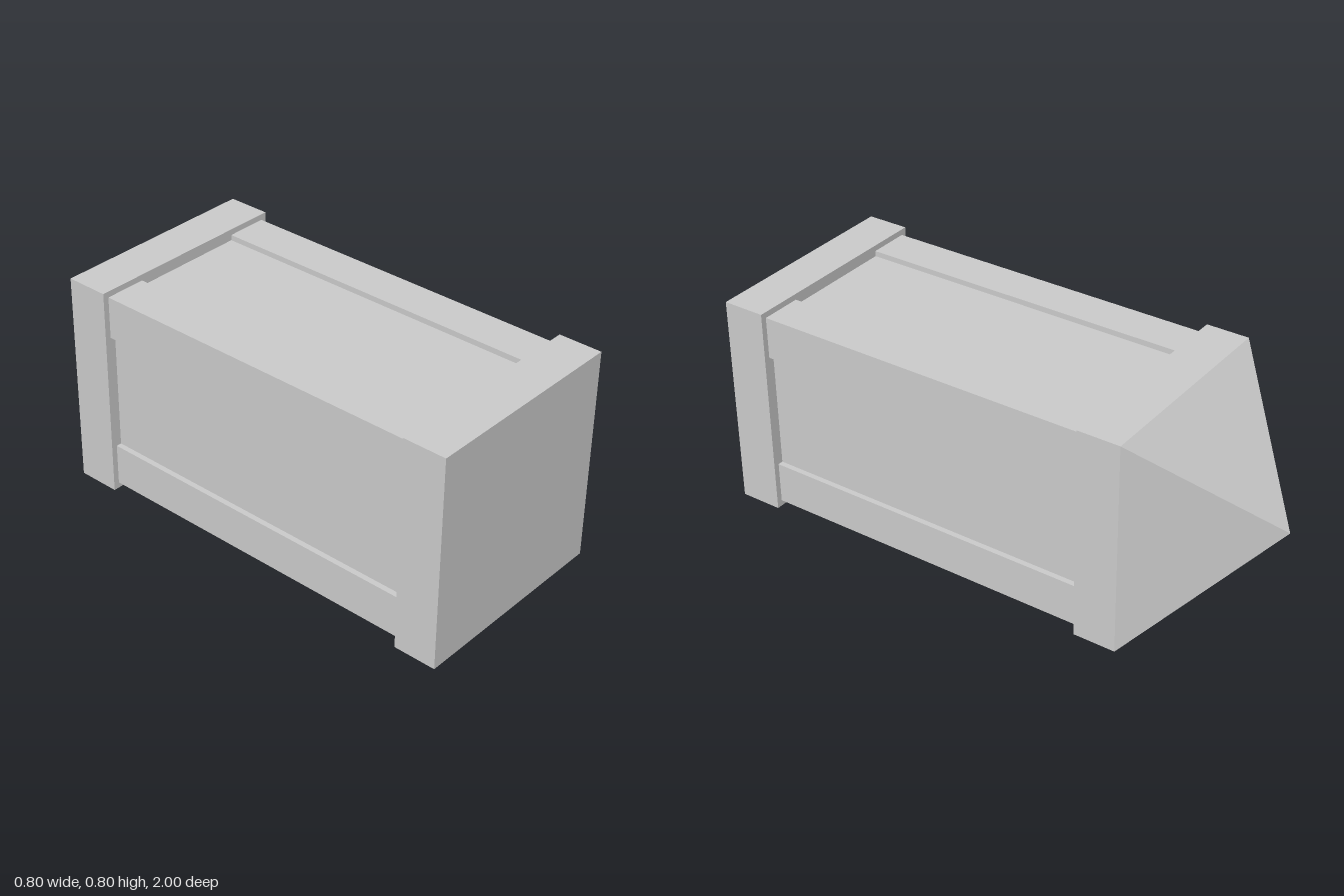
import * as THREE from 'three';

const CY = 0.4; // height of the long axis

export function createModel() {
  const group = new THREE.Group();
  const material = new THREE.MeshStandardMaterial({ color: 0xcccccc, flatShading: true });

  function add(name, geometry, x, y, z) {
    const mesh = new THREE.Mesh(geometry, material);
    mesh.name = name;
    mesh.position.set(x, y, z);
    group.add(mesh);
    return mesh;
  }

  // Square collars at both ends
  add('frontCollar', new THREE.BoxGeometry(0.8, 0.8, 0.16), 0, CY, 0.92);
  add('backCollar', new THREE.BoxGeometry(0.8, 0.8, 0.16), 0, CY, -0.52);

  // Recessed core between the collars
  add('core', new THREE.BoxGeometry(0.715, 0.715, 1.28), 0, CY, 0.2);

  // Four corner rails running the length of the core
  const inner = 0.221, outer = 0.378;
  const size = outer - inner, offset = (outer + inner) / 2;
  for (const sx of [-1, 1]) {
    for (const sy of [-1, 1]) {
      const name = (sy > 0 ? 'upper' : 'lower') + (sx > 0 ? 'Left' : 'Right') + 'Rail';
      add(name, new THREE.BoxGeometry(size, size, 1.28), sx * offset, CY + sy * offset, 0.2);
    }
  }

  // Four-sided pyramid point at the back
  const point = new THREE.ConeGeometry(0.4 * Math.SQRT2, 0.4, 4, 1, true);
  point.rotateY(Math.PI / 4).rotateX(-Math.PI / 2);
  add('point', point, 0, CY, -0.8);

  return group;
}
